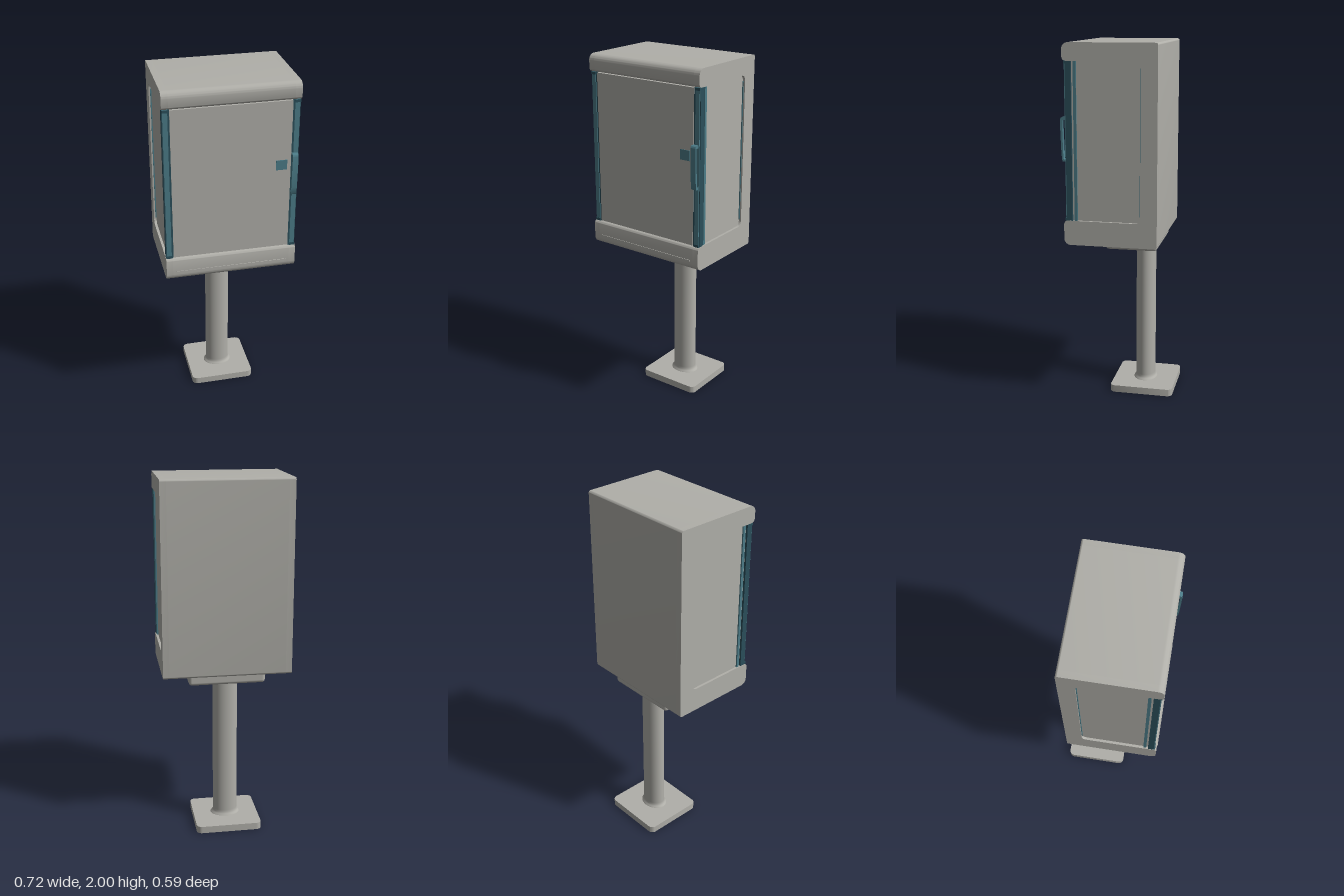
import * as THREE from 'three';
import { toCreasedNormals } from 'three/addons/utils/BufferGeometryUtils.js';
import { RoundedBoxGeometry } from 'three/addons/geometries/RoundedBoxGeometry.js';

const grey = new THREE.MeshStandardMaterial({ color: 0xb0afa9 });
grey.name = 'paintedMetalGrey';
const teal = new THREE.MeshStandardMaterial({ color: 0x4c7c88 });
teal.name = 'trimTeal';
const darkTeal = new THREE.MeshStandardMaterial({ color: 0x2b4f5b });
darkTeal.name = 'sealDarkTeal';

// Closed outline from [x, y, cornerRadius] points
function roundedShape(points) {
  const shape = new THREE.Shape();
  const n = points.length;
  points.forEach(([x, y, r = 0], i) => {
    const p = new THREE.Vector2(x, y);
    const toward = (q) => new THREE.Vector2(q[0], q[1]).sub(p).normalize().multiplyScalar(r).add(p);
    const a = toward(points[(i + n - 1) % n]);
    const b = toward(points[(i + 1) % n]);
    if (i === 0) shape.moveTo(a.x, a.y);
    else shape.lineTo(a.x, a.y);
    if (r > 0) {
      const k = 0.55;
      shape.bezierCurveTo(a.x + (x - a.x) * k, a.y + (y - a.y) * k,
        b.x + (x - b.x) * k, b.y + (y - b.y) * k, b.x, b.y);
    }
  });
  shape.closePath();
  return shape;
}

const extrude = (shape, depth) => toCreasedNormals(
  new THREE.ExtrudeGeometry(shape, { depth, bevelEnabled: false, curveSegments: 10 }), 0.6);

// Extrude a (z, y) profile between two x positions
const extrudeAcross = (points, x0, x1) =>
  extrude(roundedShape(points), x1 - x0).rotateY(-Math.PI / 2).translate(x1, 0, 0);

export function createModel() {
  const group = new THREE.Group();
  const add = (name, geometry, material) => {
    const mesh = new THREE.Mesh(geometry, material);
    mesh.name = name;
    group.add(mesh);
    return mesh;
  };
  // Box given by its limits
  const box = (name, x0, x1, y0, y1, z0, z1, material) => add(name,
    new THREE.BoxGeometry(x1 - x0, y1 - y0, z1 - z0)
      .translate((x0 + x1) / 2, (y0 + y1) / 2, (z0 + z1) / 2), material);

  // Foot plate with rounded corners
  const foot = roundedShape([[-0.187, -0.18, 0.03], [0.187, -0.18, 0.03], [0.187, 0.18, 0.03], [-0.187, 0.18, 0.03]]);
  add('footPlate', extrude(foot, 0.04).rotateX(-Math.PI / 2).translate(0, 0, -0.112), grey);

  // Oval post with a flared collar at its foot
  const postProfile = [[0.084, 0.04], [0.081, 0.045], [0.075, 0.05], [0.071, 0.058], [0.07, 0.07], [0.07, 0.88]]
    .map(([r, y]) => new THREE.Vector2(r, y));
  add('post', new THREE.LatheGeometry(postProfile, 48).scale(1, 1, 0.8).translate(0, 0, -0.109), grey);

  // Mounting block under the cabinet
  add('mountingBlock', new RoundedBoxGeometry(0.43, 0.085, 0.29, 4, 0.018).translate(0, 0.9075, -0.06), grey);

  // C-shaped shell, seen from the side; the middle has a shallow recess underneath
  const bottomFront = [0.278, 0.92, 0.035];
  const upper = [
    [0.278, 1.055, 0.022], [-0.14, 1.055, 0.03], [-0.14, 1.905, 0.03],
    [0.278, 1.905, 0.022], [0.278, 2, 0.035], [-0.23, 2, 0.012],
  ];
  const backBottom = [-0.23, 0.92, 0.012];
  for (const s of [-1, 1]) {
    const [x0, x1] = s < 0 ? [-0.36, -0.325] : [0.325, 0.36];
    add('shellCheek', extrudeAcross([backBottom, bottomFront, ...upper], x0, x1), grey);
  }
  add('shellMiddle', extrudeAcross([
    backBottom, [-0.2, 0.92], [-0.2, 0.93], [0.235, 0.93], [0.235, 0.92], bottomFront, ...upper,
  ], -0.325, 0.325), grey);

  // Inner cabinet, whose sides show as recessed panels
  box('sidePanels', -0.346, 0.346, 1.05, 1.91, -0.15, 0.235, grey);
  box('door', -0.318, 0.318, 1.058, 1.902, 0.22, 0.266, grey);

  // Corner trims, seals and rear strips on both sides
  for (const s of [-1, 1]) {
    const side = (name, a, b, y0, y1, z0, z1, material) =>
      box(name, Math.min(s * a, s * b), Math.max(s * a, s * b), y0, y1, z0, z1, material);
    side('cornerTrim', 0.318, 0.338, 1.055, 1.905, 0.22, 0.263, darkTeal);
    side('cornerTrimOuter', 0.328, 0.354, 1.055, 1.905, 0.232, 0.267, teal);
    side('cornerSeal', 0.34, 0.358, 1.055, 1.905, 0.23, 0.262, darkTeal);
    side('frameStrip', 0.335, 0.354, 1.055, 1.905, 0.204, 0.22, teal);
    side('rearStrip', 0.34, 0.352, 1.09, 1.87, -0.141, -0.136, teal);
    for (const y of [1.055, 1.89]) side('hingeCap', 0.325, 0.357, y, y + 0.015, 0.235, 0.27, darkTeal);
  }

  // Lock plate on the door
  box('lockPlate', 0.237, 0.297, 1.52, 1.575, 0.264, 0.27, teal);

  // Bow handle standing off the right-hand trim
  add('handle', extrudeAcross([
    [0.262, 1.375], [0.284, 1.375, 0.005], [0.289, 1.42], [0.295, 1.6, 0.008], [0.288, 1.612, 0.006], [0.262, 1.612],
    [0.262, 1.597], [0.284, 1.597, 0.004], [0.278, 1.388, 0.004], [0.262, 1.388],
  ], 0.319, 0.35), teal);

  // Narrow drip rail on the lower front
  const rail = roundedShape([[-0.31, 0.963, 0.006], [0.31, 0.963, 0.006], [0.31, 0.976, 0.006], [-0.31, 0.976, 0.006]]);
  add('dripRail', extrude(rail, 0.006).translate(0, 0, 0.2755), grey);

  return group;
}
